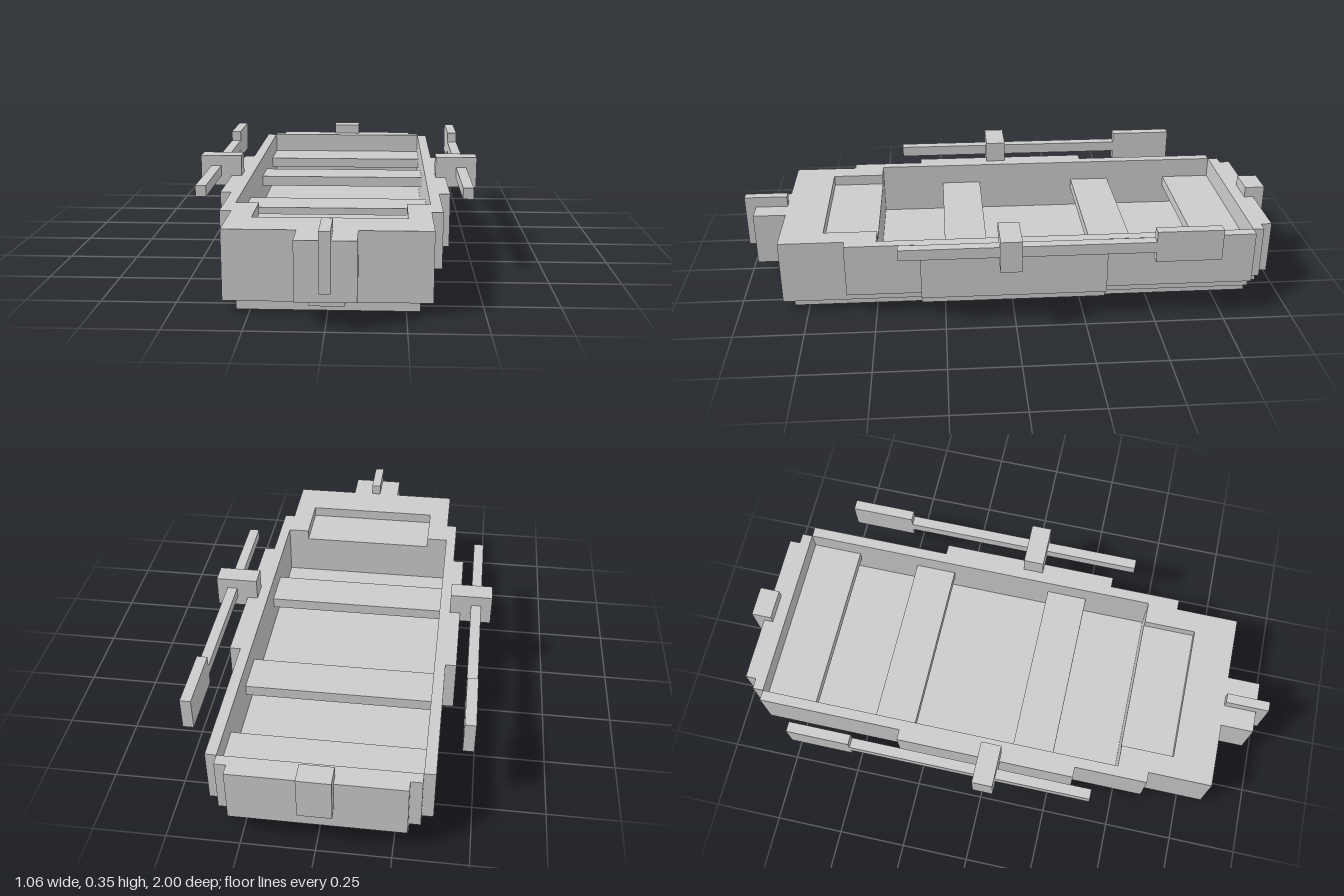
import * as THREE from 'three';

export function createModel() {
  const boat = new THREE.Group();
  boat.name = 'rowboat';
  const material = new THREE.MeshStandardMaterial({ color: 0xcccccc, flatShading: true });

  // Box from its lower and upper limits on each axis
  function block(name, x0, x1, y0, y1, z0, z1, parent = boat) {
    const mesh = new THREE.Mesh(new THREE.BoxGeometry(x1 - x0, y1 - y0, z1 - z0), material);
    mesh.position.set((x0 + x1) / 2, (y0 + y1) / 2, (z0 + z1) / 2);
    mesh.name = name;
    parent.add(mesh);
    return mesh;
  }
  // Box centred across the boat
  const centred = (name, w, y0, y1, z0, z1) => block(name, -w, w, y0, y1, z0, z1);

  const RIM = 0.275;

  // Stepped bottom
  centred('keelPlate', 0.295, 0, 0.04, -0.88, 0.805);
  centred('floor', 0.335, 0.04, 0.08, -0.88, 0.84);
  centred('sternFloorStep', 0.295, 0.04, 0.08, -0.92, -0.88);
  centred('bowFloorStep', 0.057, 0.04, 0.08, 0.84, 0.88);

  // Bow: solid nose, stem block and stem post
  centred('bowDeck', 0.335, 0.08, RIM, 0.685, 0.84);
  centred('bowBlock', 0.097, 0.08, RIM, 0.84, 0.96);
  centred('stemPost', 0.018, 0.12, 0.315, 0.84, 1);

  // Stern: transom with stepped corners and a mounting block
  centred('transom', 0.295, 0.08, RIM, -0.96, -0.88);
  centred('sternBlock', 0.057, 0.16, 0.315, -1, -0.925);

  // Benches
  centred('bowSeat', 0.255, 0.08, 0.236, 0.49, 0.685);
  for (const [z0, z1] of [[-0.88, -0.69], [-0.45, -0.295], [0.09, 0.245]]) {
    centred('bench', 0.335, 0.157, 0.197, z0, z1);
  }

  // Sides, mirrored
  for (const s of [1, -1]) {
    const side = new THREE.Group();
    side.name = s > 0 ? 'leftSide' : 'rightSide';
    boat.add(side);
    const part = (name, x0, x1, ...rest) =>
      block(name, Math.min(s * x0, s * x1), Math.max(s * x0, s * x1), ...rest, side);

    part('sideWall', 0.335, 0.374, 0.08, RIM, -0.88, 0.605);
    part('sideWallBase', 0.335, 0.374, 0.04, 0.08, -0.335, 0.335);
    part('sideBulge', 0.374, 0.413, 0.08, RIM, -0.335, 0.335);
    part('bowCheek', 0.255, 0.335, 0.08, RIM, 0.49, 0.685);
    part('sternCorner', 0.295, 0.335, 0.08, RIM, -0.92, -0.88);

    // Oar with its lock
    part('oarlock', 0.374, 0.53, 0.238, 0.354, -0.018, 0.058);
    part('oarShaft', 0.452, 0.49, 0.275, 0.315, -0.49, 0.41);
    part('oarBlade', 0.452, 0.49, 0.238, 0.354, -0.725, -0.49);
  }
  return boat;
}
